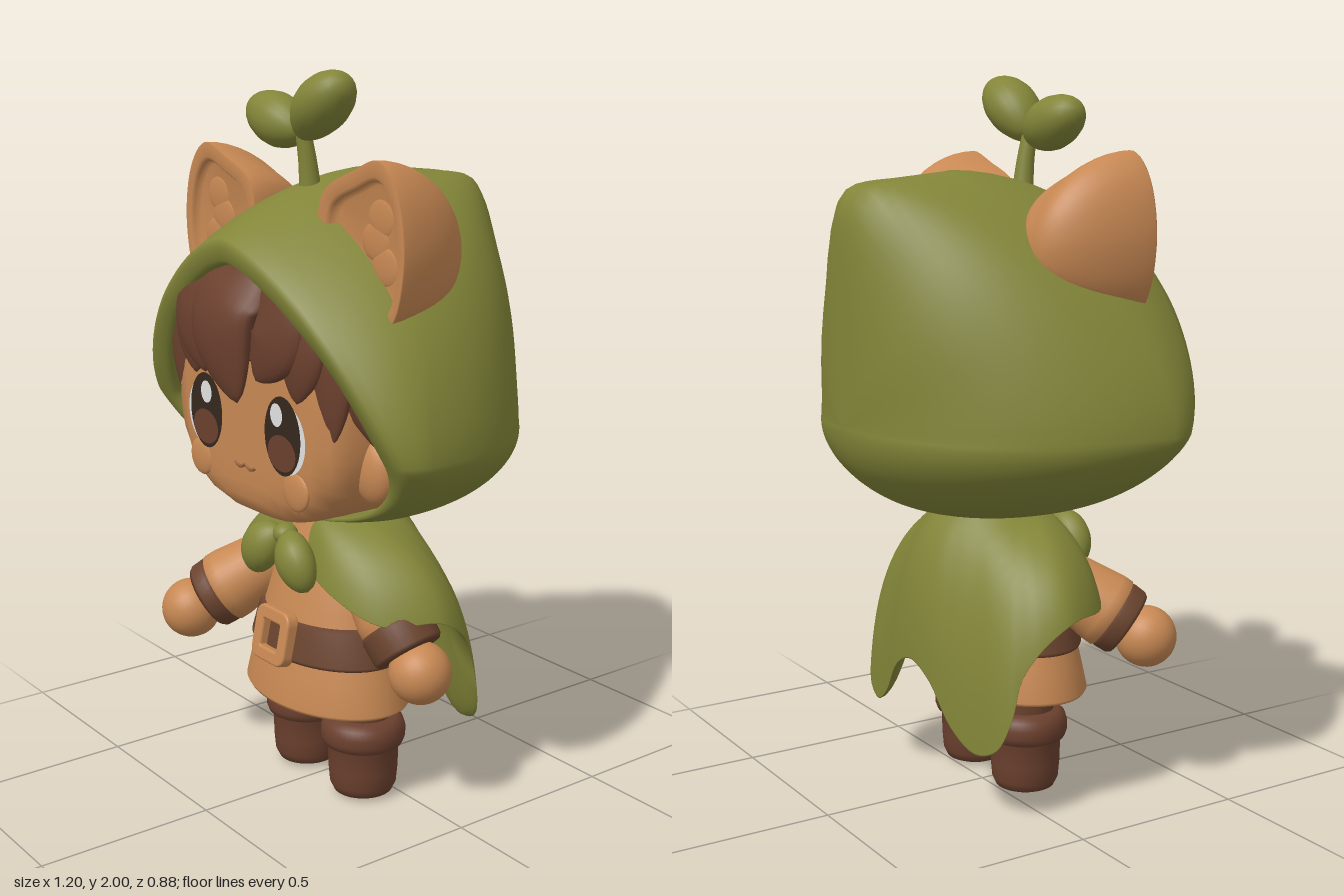
import * as THREE from 'three';
import { mergeVertices } from 'three/addons/utils/BufferGeometryUtils.js';

const V = (x, y, z) => new THREE.Vector3(x, y, z);
const { lerp: mix, smoothstep } = THREE.MathUtils;
const mat = (name, color, side = THREE.FrontSide) => {
  const m = new THREE.MeshStandardMaterial({ color, side });
  m.name = name;
  return m;
};

// Smooth surface from a rule p(u, v); normal is dP/du x dP/dv
function grid(nu, nv, fn) {
  const pos = [], idx = [];
  for (let j = 0; j <= nv; j++) for (let i = 0; i <= nu; i++) pos.push(...fn(i / nu, j / nv, j));
  for (let j = 0; j < nv; j++) for (let i = 0; i < nu; i++) {
    const a = j * (nu + 1) + i, b = a + 1, d = a + nu + 1, c = d + 1;
    idx.push(a, b, d, b, c, d);
  }
  const g = new THREE.BufferGeometry();
  g.setAttribute('position', new THREE.Float32BufferAttribute(pos, 3));
  g.setIndex(idx);
  const m = mergeVertices(g, 1e-4);
  m.computeVertexNormals();
  return m;
}

// Flattened tube along a curve with a varying half width
function sweep(pts, width, flat) {
  const curve = new THREE.CatmullRomCurve3(pts.map(p => V(...p)));
  return grid(20, 24, (u, v) => {
    const c = curve.getPoint(v), t = curve.getTangent(v), n = V(0, 0, 1);
    n.addScaledVector(t, -n.dot(t)).normalize();
    const b = n.clone().cross(t), w = width(v), a = u * Math.PI * 2;
    return c.addScaledVector(b, w * Math.cos(a)).addScaledVector(n, w * flat * Math.sin(a)).toArray();
  });
}
const leafWidth = w => t => w * Math.sqrt(Math.abs(Math.sin(Math.PI * t))) * mix(0.85, 1.05, t);
const lockWidth = w => t => w * Math.pow(Math.abs(Math.sin(Math.PI * (0.25 + 0.75 * t))), 0.7);

// Sphere vertices moved by a rule
function blob(fn) {
  const s = new THREE.SphereGeometry(1, 48, 32);
  s.deleteAttribute('uv'); s.deleteAttribute('normal');
  const p = s.attributes.position;
  for (let i = 0; i < p.count; i++) p.setXYZ(i, ...fn(p.getX(i), p.getY(i), p.getZ(i)));
  const g = mergeVertices(s, 1e-5);
  g.computeVertexNormals();
  return g;
}

// Head shape: soft outline, flat face
const HEAD = { y: 1.12, z: 0.06, rx: 0.38, ry: 0.3, rz: 0.29, p: 10 };
const outline = (x, y) => Math.pow(Math.abs(x) ** 2.6 + Math.abs(y) ** 2.6, 1 / 2.6);
const faceZ = (x, y) => {
  const m = Math.min(1, outline(x / HEAD.rx, (y - HEAD.y) / HEAD.ry));
  return HEAD.z + HEAD.rz * Math.pow(1 - m ** HEAD.p, 1 / HEAD.p);
};
function decal(cx, cy, rx, ry, off) {
  const g = new THREE.RingGeometry(0.001, 1, 36, 4), p = g.attributes.position;
  for (let i = 0; i < p.count; i++) {
    const x = cx + p.getX(i) * rx, y = cy + p.getY(i) * ry;
    p.setXYZ(i, x, y, faceZ(x, y) + off);
  }
  g.computeVertexNormals();
  return g;
}

// Hood: rows run from the back pole over the crown to the rim, then inside
const BACK = 24, FRONT = 8;
function hoodPoint(u, row) {
  const s = Math.sin(u * Math.PI * 2), c = Math.cos(u * Math.PI * 2), up = Math.max(0, s), dn = Math.max(0, -s);
  const n = s > 0 ? 1.6 : 1.7, k = Math.pow(Math.abs(c) ** n + Math.abs(s) ** n, -1 / n);
  const X = 0.6 * c * k, Y = (s > 0 ? 0.67 : 0.285) * s * k;
  const zs = 0.2 - 0.3 * up * up - 0.15 * dn;
  const rimZ = r => 0.18 + 0.23 * smoothstep(1.07 + Y * r, 0.78, 1.42)
    - 0.2 * X * X * smoothstep(1.07 + Y * r, 1.05, 1.45);
  const e = 0.95 - 0.19 * up, o = 0.82 - 0.16 * up + 0.1 * dn;
  let r, z;
  if (row <= BACK) {
    // Soft pointed tip at the top of the back
    const tip = Math.exp(-Math.acos(up) / 0.13), p = 1.95 + 0.9 * up * up + 0.2 * dn + 14 * tip;
    const a = Math.PI / 2 * (1 - row / BACK), q = Math.pow(Math.cos(a) ** p + Math.sin(a) ** p, -1 / p);
    const back = Math.sin(a) * q;
    r = row === 0 ? 0 : Math.cos(a) * q * (1 - 0.08 * back * tip);
    z = zs - (zs + 0.435) * back;
  } else if (row <= BACK + FRONT) {
    const t = (row - BACK) / FRONT;
    r = 1 - (1 - e) * t * t;
    z = mix(zs, rimZ(e), t);
  } else {
    const inner = [[mix(e, o, 0.3), rimZ(e) + 0.006], [mix(e, o, 0.85), rimZ(o)], [o, rimZ(o) - 0.015],
      [o, rimZ(o) - 0.06], [o * 0.99, rimZ(o) - 0.2], [0, -0.1]];
    [r, z] = inner[row - BACK - FRONT - 1];
  }
  return [X * r, 1.07 + Y * r, z];
}

// Animal ear: domed back and dished front over one outline
function earGeometry(side) {
  const pts = [[.44, 1.39], [.495, 1.55], [.465, 1.72], [.395, 1.79], [.29, 1.76], [.16, 1.69], [.16, 1.5], [.3, 1.4]];
  const curve = new THREE.CatmullRomCurve3(pts.map(p => V(p[0], p[1], 0)), true);
  const front = [[.99, .214], [.84, .214], [.8, .205], [.76, .185], [0, .18]];
  return grid(48, 17, (u, v, j) => {
    const p = curve.getPoint(side > 0 ? u : 1 - u), a = j / 12 * Math.PI / 2;
    const [s, z] = j <= 12 ? [Math.sin(a), .21 - .28 * Math.pow(Math.abs(Math.cos(a)), 1.1)] : front[j - 13];
    return [side * mix(.35, p.x, s), mix(1.54, p.y, s), z];
  });
}

// Cape: neck ring to a scalloped hem, folded to a padded inner layer
function capeGeometry() {
  const half = [[.03, .69, .2], [.2, .63, .22], [.35, .57, .16], [.425, .57, .02], [.415, .51, -.07], [.39, .43, -.12],
    [.385, .32, -.15], [.35, .23, -.175], [.27, .2, -.195], [.18, .25, -.215], [.09, .36, -.23]];
  const pts = [...half, [0, .4, -.235], ...half.map(p => [-p[0], p[1], p[2]]).reverse()];
  const hem = new THREE.CatmullRomCurve3(pts.map(p => V(...p)));
  return grid(110, 32, (u, v, j) => {
    const outer = j <= 16, t = Math.sin((outer ? j : 32 - j) / 16 * Math.PI / 2), h = hem.getPoint(u);
    const f = mix(.2, Math.PI * 2 - .2, u), back = smoothstep(-h.z, 0, .22);
    const curve = new THREE.QuadraticBezierCurve3(V(.15 * Math.sin(f), .81, .02 + .14 * Math.cos(f)),
      V(h.x * .87, .81 - .25 * (.81 - h.y), h.z * mix(.88, 1, back)), h);
    const p = curve.getPoint(t), pad = Math.min(1, 8 * Math.min(u, 1 - u)) * Math.min(1, Math.sqrt((1 - t) * 6));
    const k = outer ? 1 : 1 - .1 * pad;
    return [p.x * k, p.y, p.z * k + (outer ? 0 : .035 * pad * back)];
  });
}

export function createModel() {
  const root = new THREE.Group();
  root.name = 'hoodedFigure';
  const green = mat('leafGreen', 0x828538, THREE.DoubleSide), tan = mat('tan', 0xc78853);
  const hair = mat('hairBrown', 0x6b402e), leather = mat('leatherBrown', 0x6a432e);
  const dark = mat('eyeDark', 0x35281f), white = mat('eyeWhite', 0xe2e2e2), line = mat('mouthBrown', 0x9a623c);
  const add = (name, geo, m, parent = root) => {
    const o = new THREE.Mesh(geo, m);
    o.name = name;
    parent.add(o);
    return o;
  };
  const ball = (name, m, [x, y, z], [rx, ry, rz]) => {
    const o = add(name, new THREE.SphereGeometry(1, 28, 20), m);
    o.position.set(x, y, z);
    o.scale.set(rx, ry, rz);
    return o;
  };
  const lathe = (pts, n = 48) => new THREE.LatheGeometry(pts.map(p => new THREE.Vector2(...p)), n);

  // Hood and cape
  add('hood', grid(120, BACK + FRONT + 6, (u, v, j) => hoodPoint(u, j)), green);
  add('cape', capeGeometry(), green);

  // Sprout on the hood
  add('sproutStem', sweep([[0, 1.66, .13], [0, 1.76, .14], [-.005, 1.86, .155]], t => mix(.036, .02, Math.sqrt(t)), 1), green);
  add('sproutLeafRight', sweep([[0, 1.83, .155], [-.1, 1.86, .155], [-.228, 1.9, .155]], leafWidth(.074), 1), green);
  add('sproutLeafLeft', sweep([[-.005, 1.825, .155], [.08, 1.905, .155], [.19, 1.975, .155]], leafWidth(.074), 1.08), green);

  // Head and face
  add('head', blob((x, y, z) => {
    const k = Math.pow(outline(x, y) ** HEAD.p + Math.abs(z) ** HEAD.p, -1 / HEAD.p);
    return [x * k * HEAD.rx, HEAD.y + y * k * HEAD.ry, HEAD.z + z * k * HEAD.rz];
  }), tan);
  for (const s of [-1, 1]) {
    add('eyeWhite', decal(s * .194, 1.078, .084, .093, .003), white);
    add('eyeDark', decal(s * .182, 1.085, .08, .105, .006), dark);
    add('iris', decal(s * .182, 1.04, .062, .048, .009), hair);
    add('eyeHighlight', decal(s * .168 - .008, 1.138, .027, .031, .009), white);
    ball('cheek', tan, [s * .225, .945, faceZ(.225, .945) - .004], [.056, .053, .014]);
    ball('earLobe', tan, [s * .37, 1.01, .2], [.07, .09, .045]);
    add('hoodEar', earGeometry(s), tan);
    [[.37, 1.65], [.345, 1.59], [.385, 1.53]].forEach(([x, y]) => ball('earTuft', tan, [s * x, y, .18], [.055, .05, .009]));
    add('mouth', new THREE.TubeGeometry(new THREE.QuadraticBezierCurve3(
      V(0, .972, .35), V(s * .025, .95, .35), V(s * .048, .97, .35)), 10, .005, 6), line);
  }

  // Hair: cap and fringe locks
  add('hairCap', blob((x, y, z) => {
    const k = Math.pow(Math.abs(x) ** 2.6 + Math.abs(y) ** 2.6 + Math.abs(z) ** 2.6, -1 / 2.6);
    return [x * k * .4, 1.27 + y * k * (y > 0 ? .22 : .03), .03 + z * k * .34];
  }), hair);
  const lock = (w, ...pts) => add('hairLock', sweep(pts, lockWidth(w), .36), hair);
  lock(.15, [-.03, 1.48, .32], [-.03, 1.36, .39], [.05, 1.155, .405]);
  lock(.12, [-.1, 1.45, .32], [-.19, 1.35, .36], [-.15, 1.2, .375]);
  lock(.12, [.1, 1.45, .32], [.17, 1.35, .36], [.1, 1.22, .38]);
  for (const s of [-1, 1]) {
    lock(.11, [s * .15, 1.4, .3], [s * .24, 1.32, .335], [s * .24, 1.18, .35]);
    lock(.11, [s * .2, 1.38, .28], [s * .31, 1.28, .305], [s * .35, 1.09, .32]);
    lock(.085, [s * .28, 1.34, .25], [s * .39, 1.23, .265], [s * .48, 1.08, .25]);
  }

  // Tunic, belt and buckle
  const body = new THREE.Group();
  body.name = 'body';
  body.position.set(.025, 0, .1);
  root.add(body);
  add('tunic', lathe([[0, .31], [.27, .29], [.28, .28], [.287, .29], [.265, .37], [.24, .46], [.205, .56], [.165, .68], [.1, .8]]), tan, body).scale.z = .69;
  add('belt', lathe([[.24, .412], [.262, .415], [.266, .425], [.237, .515], [.231, .522], [.2, .524]]), leather, body).scale.z = .69;
  const square = (S, w, r) => {
    const s = new S();
    for (const [i, [x, y]] of [[1, 1], [-1, 1], [-1, -1], [1, -1]].entries()) {
      const h = i % 2 ? [x * (w - r), y * w] : [x * w, y * (w - r)], g = i % 2 ? [x * w, y * (w - r)] : [x * (w - r), y * w];
      i ? s.lineTo(...h) : s.moveTo(...h);
      s.quadraticCurveTo(x * w, y * w, ...g);
    }
    s.closePath();
    return s;
  };
  const frame = square(THREE.Shape, .07, .03);
  frame.holes.push(square(THREE.Path, .045, .012));
  const buckle = add('buckle', new THREE.ExtrudeGeometry(frame,
    { depth: .025, bevelSize: .007, bevelThickness: .007, bevelSegments: 3 }), tan, body);
  buckle.position.set(-.003, .47, .165);
  buckle.rotation.x = -.2;

  // Legs with rounded, cuffed boots
  for (const s of [-1, 1]) {
    add('boot', lathe([[0, 0], [.06, .002], [.083, .012], [.094, .035], [.098, .08], [.1, .15], [.112, .157], [.119, .175],
      [.119, .2], [.112, .222], [.095, .236], [.06, .24]]), hair, body).position.set(s * .135, 0, -.025);
    add('trouserLeg', new THREE.CylinderGeometry(.085, .08, .14, 28), leather, body).position.set(s * .135, .28, -.025);
  }

  // Arms: puffy sleeve, cuff band and round hand
  const arm = (name, from, to, cuff, r) => {
    const g = new THREE.Group(), a = V(...from), d = V(...to).sub(a), L = d.length(), c = L - .06 - cuff;
    g.name = name;
    g.position.copy(a);
    g.quaternion.setFromUnitVectors(V(0, 1, 0), d.normalize());
    root.add(g);
    add('sleeve', lathe([[0, -.05], [.055, -.035], [.08, 0], [r, c - .03], [r, c], [.09, c + .01], [0, c + .02]], 32), tan, g);
    add('cuff', lathe([[.085, c - .005], [.099, c], [.102, c + .012], [.1, L - .07], [.093, L - .06], [0, L - .055]], 32), leather, g);
    add('hand', new THREE.SphereGeometry(.086, 28, 20), tan, g).position.y = L;
  };
  arm('rightArm', [-.16, .64, .12], [-.33, .46, .33], .055, .105);
  arm('leftArm', [.2, .66, .09], [.39, .43, .06], .085, .097);

  // Leaf bow at the neck
  for (const s of [-1, 1])
    add('bowLeaf', sweep([[s * .015 + .01, .765, .235], [s * .075 + .01, .71, .255], [s * .13 + .01, .625, .25]], leafWidth(.066), .8), green);
  ball('bowKnot', green, [.01, .755, .23], [.035, .03, .035]);

  return root;
}
